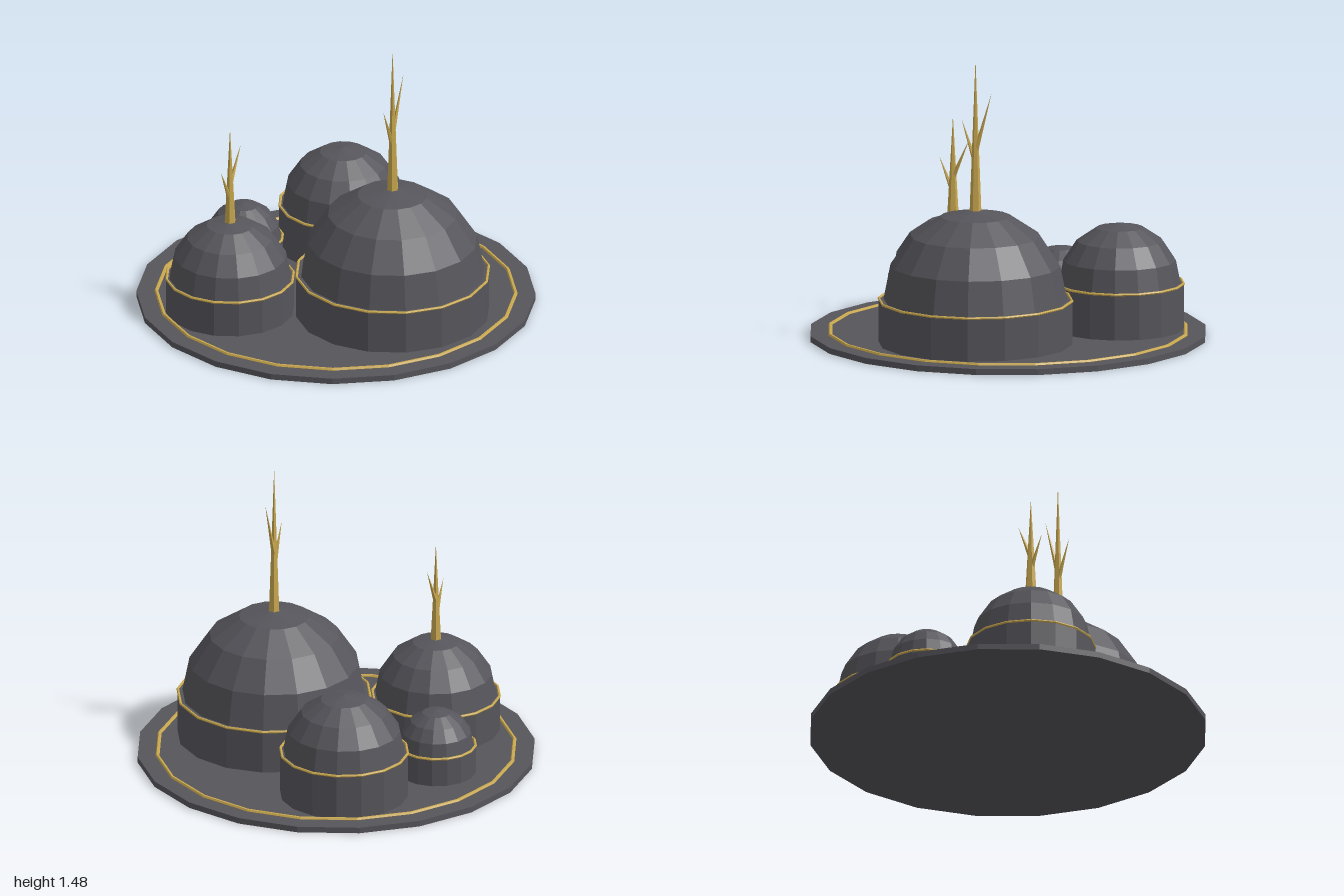
import * as THREE from 'three';

const slate = new THREE.MeshStandardMaterial({ color: 0x56555b });
slate.name = 'slate grey';
slate.flatShading = true;
const gold = new THREE.MeshStandardMaterial({ color: 0xc9a84f });
gold.name = 'gold';
gold.flatShading = true;

function part(name, geometry, material, x = 0, y = 0, z = 0) {
  const mesh = new THREE.Mesh(geometry, material);
  mesh.name = name;
  mesh.position.set(x, y, z);
  return mesh;
}

// Horizontal gold band
function band(name, radius, tube, sides, y) {
  const geometry = new THREE.TorusGeometry(radius, tube, 6, sides).rotateX(Math.PI / 2);
  return part(name, geometry, gold, 0, y, 0);
}

// Tapered spike running from one point to another
function spike(name, from, to, radius, sides) {
  const a = new THREE.Vector3(...from);
  const direction = new THREE.Vector3(...to).sub(a);
  const length = direction.length();
  const geometry = new THREE.ConeGeometry(radius, length, sides).translate(0, length / 2, 0);
  const mesh = part(name, geometry, gold, ...from);
  mesh.quaternion.setFromUnitVectors(new THREE.Vector3(0, 1, 0), direction.normalize());
  return mesh;
}

// Drum with a gold band and a faceted hemisphere on top
function domedHall({ name, x, z, radius, domeRadius, bandY }) {
  const group = new THREE.Group();
  group.name = name;
  group.position.set(x, 0, z);
  const bottom = 0.02;
  const height = bandY - bottom;
  group.add(
    part('drum', new THREE.CylinderGeometry(radius, radius, height, 16), slate, 0, bottom + height / 2, 0),
    part('dome', new THREE.SphereGeometry(domeRadius, 16, 4, 0, Math.PI * 2, 0, Math.PI / 2), slate, 0, bandY, 0),
    band('drumBand', radius - 0.002, 0.007, 16, bandY)
  );
  return group;
}

// Branching spire: a tall spike with two side spikes
function spire({ name, x, z, base, top, branches }) {
  const group = new THREE.Group();
  group.name = name;
  group.position.set(x, 0, z);
  group.add(spike('trunk', [0, base, 0], [0, top, 0], 0.03, 6));
  for (const [rootY, tipX, tipY] of branches) {
    group.add(spike('branch', [0, rootY, 0], [tipX, tipY, 0], 0.014, 5));
  }
  return group;
}

export function createModel() {
  const model = new THREE.Group();
  model.name = 'domedSettlement';

  // Ground disc and its inlaid ring
  model.add(part('groundDisc', new THREE.CylinderGeometry(1, 1, 0.03, 20), slate, 0, 0.015, 0));
  model.add(band('groundRing', 0.9, 0.01, 20, 0.032));

  // Four domed halls
  const halls = [
    { name: 'mainHall', x: 0, z: 0.355, radius: 0.488, domeRadius: 0.462, bandY: 0.25 },
    { name: 'leftHall', x: 0.47, z: -0.31, radius: 0.323, domeRadius: 0.306, bandY: 0.262 },
    { name: 'rightHall', x: -0.47, z: -0.31, radius: 0.323, domeRadius: 0.306, bandY: 0.214 },
    { name: 'rearHall', x: 0, z: -0.578, radius: 0.198, domeRadius: 0.187, bandY: 0.176 }
  ];
  for (const hall of halls) model.add(domedHall(hall));

  // Gold spires; each branch is [root height, tip offset, tip height]
  model.add(spire({
    name: 'mainSpire', x: 0, z: 0.355, base: 0.69, top: 1.48,
    branches: [[1.0, 0.09, 1.31], [0.95, -0.078, 1.165]]
  }));
  model.add(spire({
    name: 'rightSpire', x: -0.47, z: -0.31, base: 0.5, top: 1.03,
    branches: [[0.71, 0.09, 0.91], [0.64, -0.077, 0.815]]
  }));

  return model;
}
